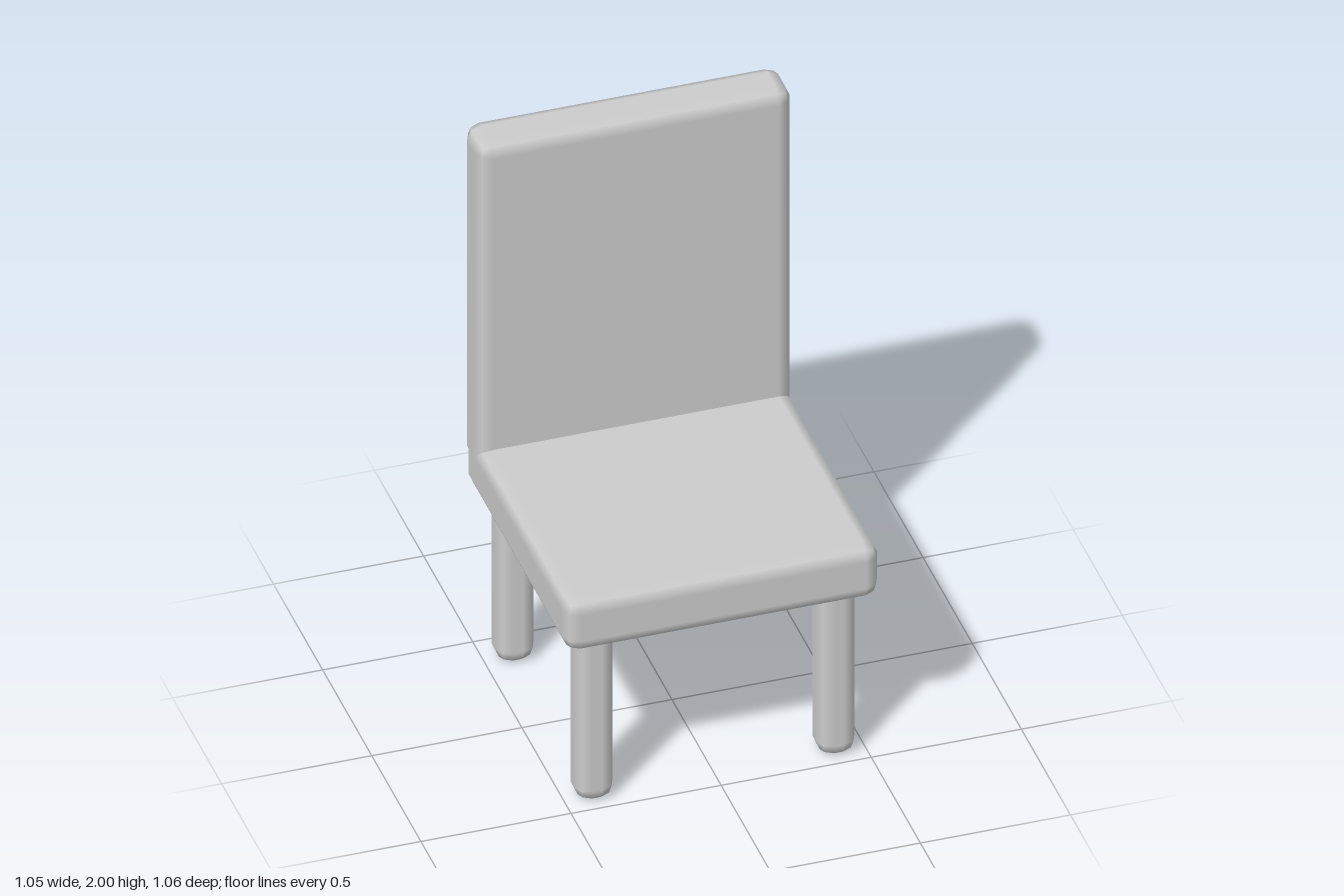
import * as THREE from 'three';
import { RoundedBoxGeometry } from 'three/addons/geometries/RoundedBoxGeometry.js';

const material = new THREE.MeshStandardMaterial({ color: 0xcccccc });
const RADIUS = 0.05;

// Soft-edged block given by its min and max corners
function block(name, min, max) {
  const size = max.map((v, i) => v - min[i]);
  const mesh = new THREE.Mesh(new RoundedBoxGeometry(...size, 1, RADIUS), material);
  mesh.position.set(...max.map((v, i) => (v + min[i]) / 2));
  mesh.name = name;
  return mesh;
}

export function createModel() {
  const chair = new THREE.Group();
  chair.name = 'chair';

  // Seat cushion and upright back, overlapping at the rear
  chair.add(block('seat', [-0.525, 0.627, -0.515], [0.525, 0.828, 0.532]));
  chair.add(block('backrest', [-0.525, 0.725, -0.532], [0.525, 2, -0.36]));

  // Four legs, sunk into the seat
  const half = 0.065;
  for (const [side, x] of [['Right', -0.403], ['Left', 0.403]]) {
    for (const [end, z] of [['front', 0.412], ['back', -0.392]]) {
      chair.add(block(`${end}${side}Leg`, [x - half, 0, z - half], [x + half, 0.72, z + half]));
    }
  }
  return chair;
}
